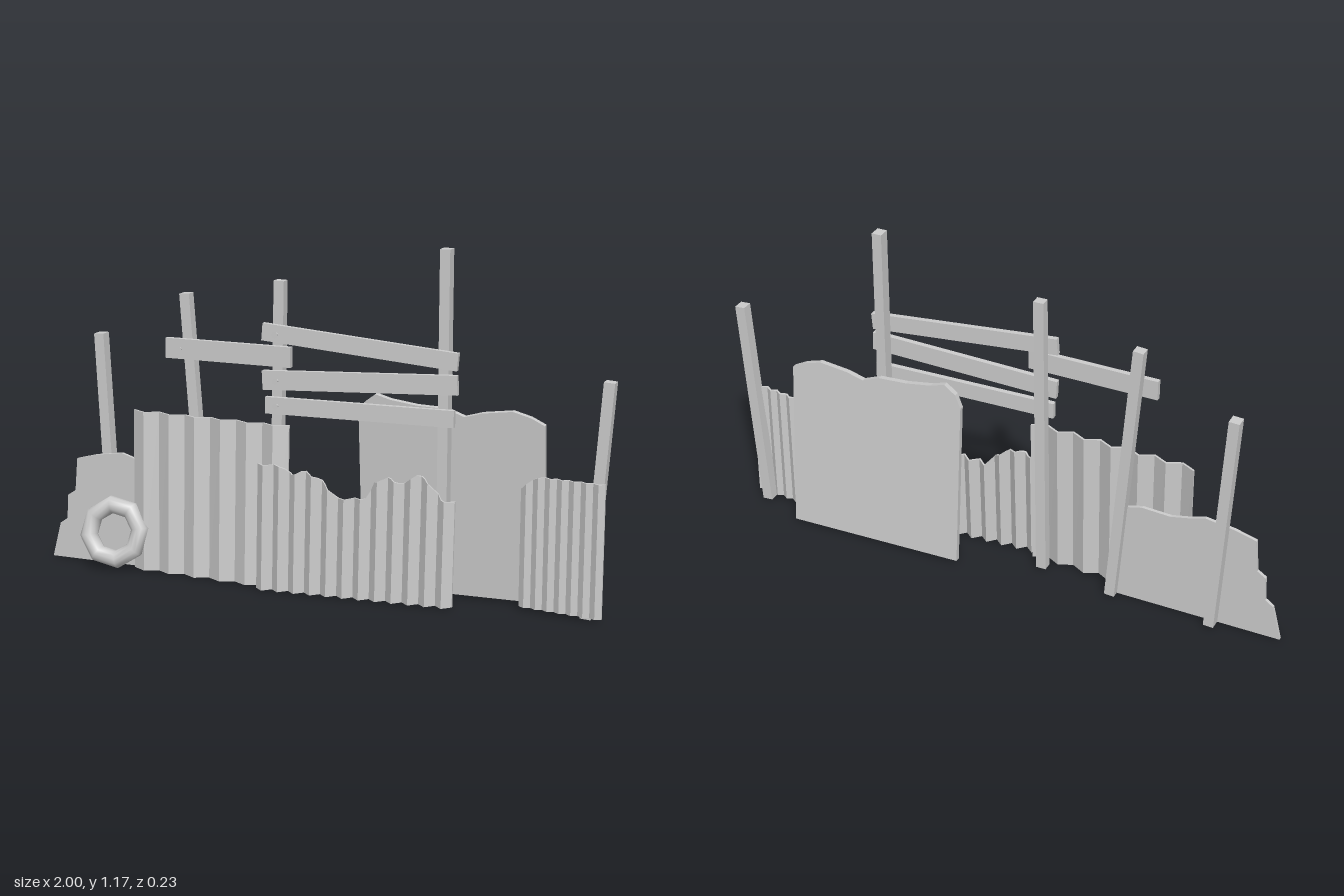
import * as THREE from 'three';

const material = new THREE.MeshStandardMaterial({ color: 0xcccccc, flatShading: true });
const smooth = new THREE.MeshStandardMaterial({ color: 0xcccccc });
const lerp = THREE.MathUtils.lerp;

function named(name, geometry, mat = material) {
  const mesh = new THREE.Mesh(geometry, mat);
  mesh.name = name;
  return mesh;
}

// Square beam between two points
function beam(name, from, to, height, depth) {
  const a = new THREE.Vector3(...from), b = new THREE.Vector3(...to);
  const mesh = named(name, new THREE.BoxGeometry(a.distanceTo(b), height, depth));
  mesh.position.copy(a).lerp(b, 0.5);
  mesh.quaternion.setFromUnitVectors(new THREE.Vector3(1, 0, 0), b.sub(a).normalize());
  return mesh;
}

// Height of a ragged edge at x, from [x, y] points
function edgeAt(points, x) {
  for (let i = 1; i < points.length; i++) {
    const [x0, y0] = points[i - 1], [x1, y1] = points[i];
    if (x <= x1) return lerp(y0, y1, (x - x0) / (x1 - x0));
  }
  return points[points.length - 1][1];
}

// Folded sheet: zTop and zBottom give [left, right] depth, so it can lean and turn
function corrugated(name, { top, bottom, folds, steps, amp, zTop, zBottom }) {
  const x0 = top[0][0], x1 = top[top.length - 1][0], thick = 0.008;
  const pos = [], index = [], n = folds * steps;
  for (let i = 0; i <= n; i++) {
    const t = i / n, x = lerp(x0, x1, t), f = i / steps, k = Math.floor(f);
    const tri = (k % 2 ? 1 - (f - k) : f - k) * 2 - 1;
    const zt = lerp(...zTop, t) + tri * amp, zb = lerp(...zBottom, t) + tri * amp;
    const y = edgeAt(top, x);
    const zy = lerp(zb, zt, y / 0.56);
    pos.push(x, bottom, zb + thick / 2, x, y, zy + thick / 2, x, y, zy - thick / 2, x, bottom, zb - thick / 2);
    if (i === n) break;
    for (let r = 0; r < 4; r++) {
      const a = i * 4 + r, d = i * 4 + (r + 1) % 4;
      index.push(a, a + 4, d + 4, a, d + 4, d);
    }
  }
  const e = n * 4;
  index.push(0, 1, 2, 0, 2, 3, e, e + 2, e + 1, e, e + 3, e + 2);
  const indexed = new THREE.BufferGeometry();
  indexed.setAttribute('position', new THREE.Float32BufferAttribute(pos, 3));
  indexed.setIndex(index);
  const geometry = indexed.toNonIndexed();
  geometry.computeVertexNormals();
  return named(name, geometry);
}

// Flat plate cut to an outline
function plate(name, outline, depth) {
  const shape = new THREE.Shape(outline.map(p => new THREE.Vector2(...p)));
  return named(name, new THREE.ExtrudeGeometry(shape, { depth, bevelEnabled: false }));
}

export function createModel() {
  const group = new THREE.Group();
  group.name = 'scrapBarricade';

  // Leaning posts: base x, top x, height, z, width, depth
  [
    [-0.765, -0.805, 0.81, -0.03, 0.036, 0.04],
    [-0.405, -0.475, 0.97, -0.02, 0.036, 0.035],
    [-0.135, -0.115, 1.04, 0.017, 0.036, 0.033],
    [0.445, 0.445, 1.17, -0.01, 0.034, 0.04],
    [0.925, 0.98, 0.78, -0.03, 0.036, 0.038],
  ].forEach(([xb, xt, h, z, w, d], i) =>
    group.add(beam(`post${i + 1}`, [xb, 0.005, z], [xt, h, z], w, d)));

  // Cross planks, each with a nail near its left end
  [
    [[-0.515, 0.795, 0.053], [-0.062, 0.795, 0.055], 0.068, -0.46, 0.795],
    [[-0.168, 0.872, 0.043], [0.498, 0.815, 0.02], 0.058, -0.115, 0.867],
    [[-0.168, 0.71, 0.043], [0.498, 0.74, 0.02], 0.064, -0.115, 0.712],
    [[-0.158, 0.627, 0.043], [0.488, 0.629, 0.02], 0.056, -0.115, 0.628],
  ].forEach(([a, b, h, nx, ny], i) => {
    group.add(beam(`plank${i + 1}`, a, b, h, 0.018));
    const nail = new THREE.Group();
    nail.name = `nail${i + 1}`;
    const shaft = named('nailShaft', new THREE.CylinderGeometry(0.005, 0.005, 0.025, 8));
    const head = named('nailHead', new THREE.CylinderGeometry(0.011, 0.008, 0.006, 8));
    head.position.y = 0.012;
    nail.add(shaft, head);
    nail.rotation.x = Math.PI / 2;
    nail.position.set(nx, ny, a[2] + 0.012);
    group.add(nail);
  });

  // Corrugated sheets
  group.add(corrugated('tallSheet', {
    top: [[-0.665, 0.56], [-0.082, 0.56]], bottom: 0.005, folds: 12, steps: 1, amp: 0.012,
    zTop: [0.018, 0.038], zBottom: [0.035, 0.065],
  }));
  group.add(corrugated('tornSheet', {
    top: [[-0.18, 0.43], [-0.09, 0.43], [-0.06, 0.4], [-0.02, 0.42], [0.03, 0.4], [0.06, 0.38],
      [0.1, 0.335], [0.2, 0.345], [0.225, 0.4], [0.275, 0.42], [0.32, 0.4], [0.365, 0.435],
      [0.4, 0.425], [0.45, 0.36], [0.493, 0.355]],
    bottom: 0.005, folds: 24, steps: 2, amp: 0.013, zTop: [0.068, 0.018], zBottom: [0.093, 0.045],
  }));
  group.add(corrugated('rightSheet', {
    top: [[0.695, 0.405], [0.725, 0.435], [0.76, 0.452], [0.98, 0.455]], bottom: 0.012,
    folds: 14, steps: 1, amp: 0.006, zTop: [-0.04, -0.002], zBottom: [-0.04, -0.002],
  }));

  // Flat plate leaning on the back
  const back = plate('backPlate', [[0, 0], [0.625, 0], [0.625, 0.605], [0.58, 0.628], [0.52, 0.645],
    [0.42, 0.632], [0.36, 0.615], [0.3, 0.638], [0.2, 0.642], [0.11, 0.655], [0.06, 0.67],
    [0.02, 0.64], [0, 0.595]], 0.02);
  back.rotation.set(0.075, 0.04, 0);
  back.position.set(0.14, 0.01, -0.095);
  group.add(back);

  // Broken plate at the left end
  const broken = plate('brokenPlate', [[-1, 0.002], [-0.42, 0.002], [-0.42, 0.355], [-0.5, 0.375],
    [-0.6, 0.37], [-0.67, 0.385], [-0.72, 0.4], [-0.82, 0.385], [-0.895, 0.365], [-0.905, 0.25],
    [-0.935, 0.23], [-0.94, 0.145], [-0.968, 0.125]], 0.012);
  broken.position.z = -0.01;
  group.add(broken);

  // Old tyre leaning against the front
  const tyre = named('tyre', new THREE.TorusGeometry(0.095, 0.031, 12, 8), smooth);
  tyre.rotation.set(-0.25, 0.08, 0.2);
  tyre.position.set(-0.725, 0.133, 0.058);
  group.add(tyre);

  return group;
}
